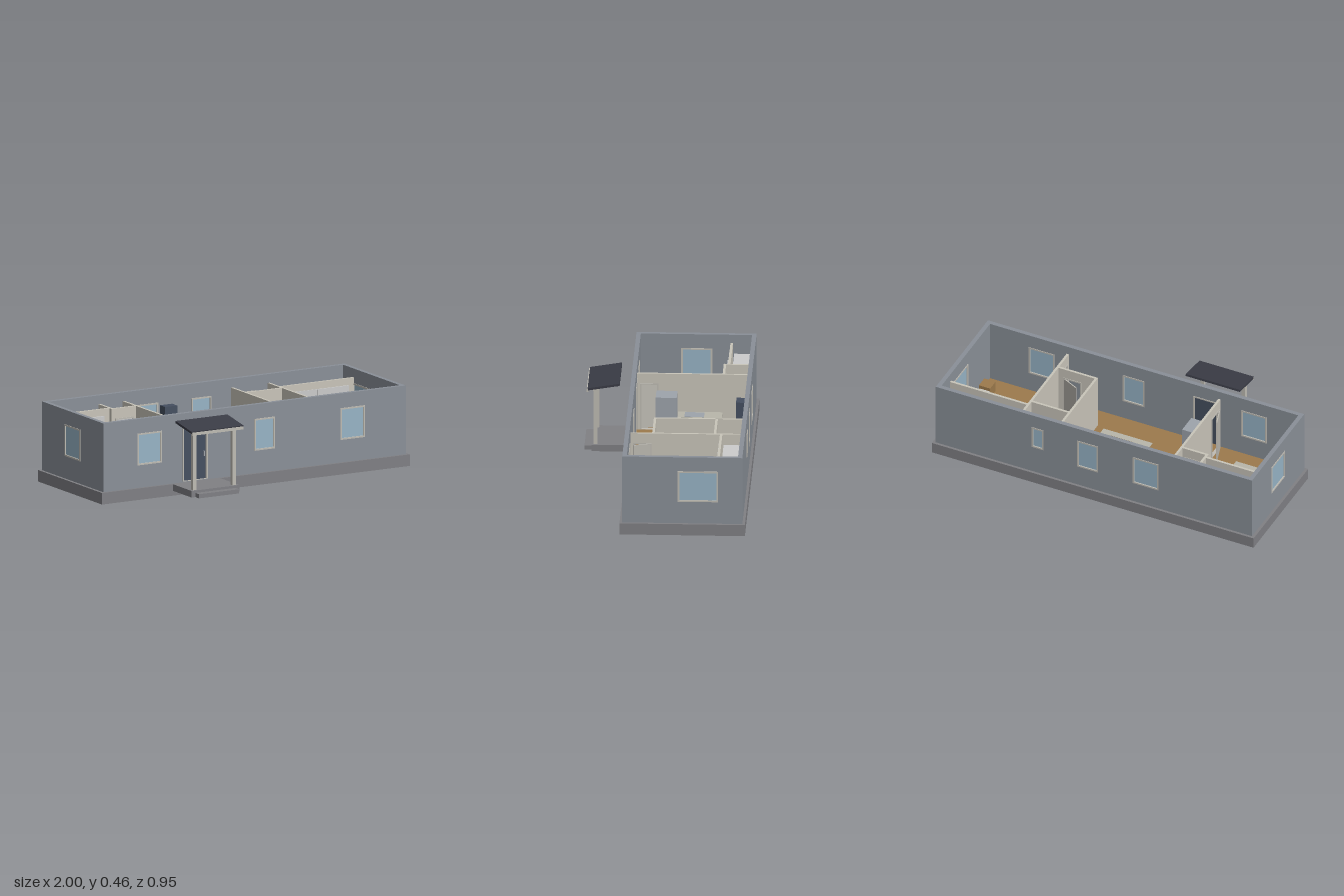
import * as THREE from 'three';

const mat = (color) => new THREE.MeshStandardMaterial({ color });
const M = {
  wall: mat(0x8a9098), base: mat(0x808084), inner: mat(0xc9c5ba), frame: mat(0xbfbcb4),
  glass: mat(0x97b4c6), door: mat(0x454f60), roof: mat(0x3a3c46), wood: mat(0x9c7a4c),
  darkWood: mat(0x6e5238), tile: mat(0xa9aeb4), white: mat(0xd2d2d0), fabric: mat(0xb8b6aa),
  sofa: mat(0x5a5c70), steel: mat(0x9ea4ac),
};
const FLOOR = 0.075, TOP = 0.46, IN_TOP = 0.41, T = 0.025;

// Box given by its limits on each axis
function box(parent, name, m, x0, x1, y0, y1, z0, z1) {
  const mesh = new THREE.Mesh(new THREE.BoxGeometry(x1 - x0, y1 - y0, z1 - z0), m);
  mesh.position.set((x0 + x1) / 2, (y0 + y1) / 2, (z0 + z1) / 2);
  mesh.name = name;
  parent.add(mesh);
  return mesh;
}

function rect(C, u0, u1, y0, y1) {
  const p = new C();
  p.moveTo(u0, y0); p.lineTo(u1, y0); p.lineTo(u1, y1); p.lineTo(u0, y1); p.closePath();
  return p;
}

// Upright panel with rectangular holes
function panel(parent, name, m, r, holes, depth, z = 0) {
  const s = rect(THREE.Shape, ...r);
  holes.forEach((h) => s.holes.push(rect(THREE.Path, ...h)));
  const mesh = new THREE.Mesh(new THREE.ExtrudeGeometry(s, { depth, bevelEnabled: false }), m);
  mesh.position.z = z;
  mesh.name = name;
  parent.add(mesh);
}

// Wall with framed windows; side walls run along z, the others along x
function wall(parent, name, m, r, depth, at, side, windows = [], doors = []) {
  const g = new THREE.Group();
  g.name = name;
  panel(g, name + 'Panel', m, r, [...windows, ...doors], depth);
  for (const [a, b, c, d] of windows) {
    const w = 0.007;
    panel(g, 'windowFrame', M.frame, [a - 0.002, b + 0.002, c - 0.002, d + 0.002],
      [[a + w, b - w, c + w, d - w]], depth + 0.006, -0.003);
    box(g, 'windowGlass', M.glass, a + w, b - w, c + w, d - w, 0.004, depth - 0.004);
  }
  for (const [a, b, c, d] of doors) {
    const w = 0.008;
    panel(g, 'doorFrame', M.frame, [a, b, c, d], [[a + w, b - w, c + 0.002, d - w]], depth + 0.006, -0.003);
  }
  if (side) { g.rotation.y = -Math.PI / 2; g.position.x = at; } else g.position.z = at;
  parent.add(g);
}

// Door leaf standing open between two plan points
function leaf(parent, x0, z0, x1, z1) {
  const len = Math.hypot(x1 - x0, z1 - z0);
  const d = box(parent, 'openDoor', M.frame, -len / 2, len / 2, FLOOR, 0.345, -0.003, 0.003);
  d.position.x = (x0 + x1) / 2;
  d.position.z = (z0 + z1) / 2;
  d.rotation.y = -Math.atan2(z1 - z0, x1 - x0);
}

function bed(parent, x0, x1, z0, z1, px0, px1) {
  const g = new THREE.Group();
  g.name = 'bed';
  box(g, 'bedFrame', M.darkWood, x0, x1, FLOOR, 0.115, z0, z1);
  box(g, 'mattress', M.fabric, x0 + 0.007, x1 - 0.007, 0.115, 0.145, z0 + 0.007, z1 - 0.007);
  box(g, 'pillow', M.white, px0, px1, 0.145, 0.16, z0 + 0.02, z1 - 0.02);
  parent.add(g);
}

function shell(g) {
  box(g, 'foundation', M.base, -1, 1, 0, 0.066, -0.475, 0.228);
  box(g, 'woodFloor', M.wood, -0.965, 0.965, 0.066, FLOOR, -0.445, 0.195);
  box(g, 'bathFloor', M.tile, 0.24, 0.47, FLOOR, FLOOR + 0.002, -0.44, 0.06);
  const X = 0.983, y = [0.197, 0.375];
  wall(g, 'frontWall', M.wall, [-X, X, 0.066, TOP], T, 0.213 - T, false,
    [[-0.76, -0.605, ...y], [0, 0.13, ...y], [0.56, 0.715, ...y]], [[-0.467, -0.305, 0.07, 0.378]]);
  wall(g, 'backWall', M.wall, [-X, X, 0.066, TOP], T, -0.46, false,
    [[-0.4, -0.245, ...y], [-0.025, 0.1, ...y], [0.315, 0.385, 0.24, 0.375]]);
  wall(g, 'rightEndWall', M.wall, [-0.46 + T, 0.213 - T, 0.066, TOP], T, -X + T, true, [[-0.21, -0.04, ...y]]);
  wall(g, 'leftEndWall', M.wall, [-0.46 + T, 0.213 - T, 0.066, TOP], T, X, true, [[-0.322, -0.1, ...y]]);
  box(g, 'frontDoor', M.door, -0.459, -0.313, 0.072, 0.37, 0.194, 0.206);
  box(g, 'doorHandle', M.steel, -0.328, -0.322, 0.2, 0.23, 0.206, 0.213);
}

function porch(g) {
  box(g, 'porchSlab', M.base, -0.54, -0.23, 0.028, 0.066, 0.22, 0.435);
  box(g, 'porchStep', M.base, -0.515, -0.255, 0.028, 0.052, 0.435, 0.475);
  for (const x of [-0.513, -0.257]) box(g, 'porchPost', M.frame, x - 0.011, x + 0.011, 0.066, 0.392, 0.403, 0.425);
  box(g, 'porchBeam', M.frame, -0.535, -0.23, 0.388, 0.405, 0.403, 0.425);
  box(g, 'gutter', M.frame, -0.55, -0.217, 0.388, 0.404, 0.452, 0.461);
  const roof = box(g, 'porchRoof', M.roof, -0.552, -0.215, -0.0065, 0.0065, -0.09, 0.09);
  roof.position.y = 0.418;
  roof.position.z = 0.366;
  roof.rotation.x = 0.165;
}

function partitions(g) {
  const t = 0.014, zb = -0.435, zf = 0.188, door = [0.07, 0.172, FLOOR, 0.352];
  const row = (x0, x1, z, doors) => wall(g, 'crossPartition', M.inner, [x0, x1, FLOOR, IN_TOP], t, z, false, [], doors);
  const col = (z0, z1, x, doors) => wall(g, 'partition', M.inner, [z0, z1, FLOOR, IN_TOP], t, x, true, [], doors);
  col(zb, zf, -0.461, [door]);
  col(zb, zf, 0.482, [door]);
  col(zb, 0.052, 0.242);
  row(0.228, 0.47, 0.052, [[0.325, 0.436, FLOOR, 0.352]]);
  row(0.242, 0.468, -0.293);
  row(-0.958, -0.618, -0.328);
  row(0.482, 0.958, -0.328);
  col(zb, -0.29, -0.618);
  row(-0.632, -0.475, -0.304, [[-0.61, -0.49, FLOOR, 0.352]]);
  box(g, 'utilityDoor', M.white, -0.602, -0.498, FLOOR, 0.344, -0.3, -0.294);
  leaf(g, -0.478, 0.171, -0.51, 0.066);
  leaf(g, 0.484, 0.075, 0.5, 0.171);
  leaf(g, 0.434, 0.053, 0.335, 0.006);
  // Closets with a shelf and sliding doors
  for (const [x0, x1] of [[-0.95, -0.64], [0.49, 0.95]]) {
    box(g, 'closetShelf', M.white, x0, x1, 0.34, 0.35, zb, -0.335);
    const a = x0 + 0.03, b = x1 - 0.03, mid = (a + b) / 2;
    box(g, 'slidingDoor', M.white, a, mid + 0.005, FLOOR, 0.37, -0.314, -0.309);
    box(g, 'slidingDoor', M.white, mid - 0.005, b, FLOOR, 0.37, -0.314, -0.305);
  }
}

function furniture(g) {
  bed(g, -0.943, -0.643, -0.182, 0.032, -0.928, -0.862);
  bed(g, 0.66, 0.95, -0.22, 0, 0.858, 0.922);
  box(g, 'nightstand', M.wood, -0.943, -0.873, FLOOR, 0.14, 0.07, 0.14);
  box(g, 'nightstand', M.wood, 0.88, 0.95, FLOOR, 0.14, 0.027, 0.097);
  // Living area
  box(g, 'rug', M.fabric, -0.12, 0.185, FLOOR, FLOOR + 0.003, -0.31, 0.048);
  box(g, 'sofaSeat', M.sofa, -0.11, 0.175, FLOOR + 0.003, 0.125, -0.3, -0.178);
  box(g, 'sofaBack', M.sofa, -0.11, 0.175, 0.125, 0.18, -0.302, -0.268);
  for (const x of [-0.112, 0.155]) box(g, 'sofaArm', M.sofa, x, x + 0.022, 0.08, 0.148, -0.3, -0.176);
  box(g, 'coffeeTableTop', M.darkWood, -0.035, 0.1, 0.118, 0.126, -0.122, -0.048);
  for (const x of [-0.03, 0.087]) for (const z of [-0.117, -0.061])
    box(g, 'coffeeTableLeg', M.darkWood, x, x + 0.008, FLOOR, 0.118, z, z + 0.008);
  // Kitchen
  box(g, 'backCabinet', M.door, -0.36, -0.165, FLOOR, 0.175, -0.435, -0.34);
  box(g, 'backCounter', M.fabric, -0.365, -0.158, 0.175, 0.185, -0.435, -0.333);
  box(g, 'upperCabinet', M.door, -0.232, -0.153, 0.255, 0.36, -0.435, -0.378);
  box(g, 'sideCabinet', M.door, -0.459, -0.372, FLOOR, 0.175, -0.285, -0.045);
  box(g, 'sideCounter', M.fabric, -0.459, -0.366, 0.175, 0.185, -0.29, -0.042);
  box(g, 'sink', M.steel, -0.448, -0.376, 0.18, 0.187, -0.19, -0.08);
  box(g, 'fridge', M.steel, -0.456, -0.345, FLOOR, 0.31, -0.038, 0.08);
  // Bathroom, laundry and utility closet
  box(g, 'washer', M.steel, 0.243, 0.35, FLOOR, 0.2, -0.418, -0.31);
  box(g, 'laundryCabinet', M.white, 0.367, 0.452, FLOOR, 0.19, -0.418, -0.352);
  panel(g, 'bathtubRim', M.white, [0.243, 0.453, FLOOR, 0.145], [], 0.006, -0.177);
  box(g, 'bathtub', M.white, 0.243, 0.453, FLOOR, 0.14, -0.277, -0.177);
  box(g, 'toiletBowl', M.white, 0.262, 0.312, FLOOR, 0.125, -0.132, -0.075);
  box(g, 'toiletTank', M.white, 0.244, 0.264, FLOOR, 0.17, -0.132, -0.075);
  box(g, 'vanity', M.fabric, 0.375, 0.458, FLOOR, 0.18, -0.122, -0.018);
  const heater = new THREE.Mesh(new THREE.CylinderGeometry(0.043, 0.043, 0.22, 24), M.steel);
  heater.position.set(-0.547, FLOOR + 0.11, -0.38);
  heater.name = 'waterHeater';
  g.add(heater);
}

export function createModel() {
  const model = new THREE.Group();
  model.name = 'house';
  for (const [name, build] of Object.entries({ shell, porch, partitions, furniture })) {
    const g = new THREE.Group();
    g.name = name;
    build(g);
    model.add(g);
  }
  return model;
}
